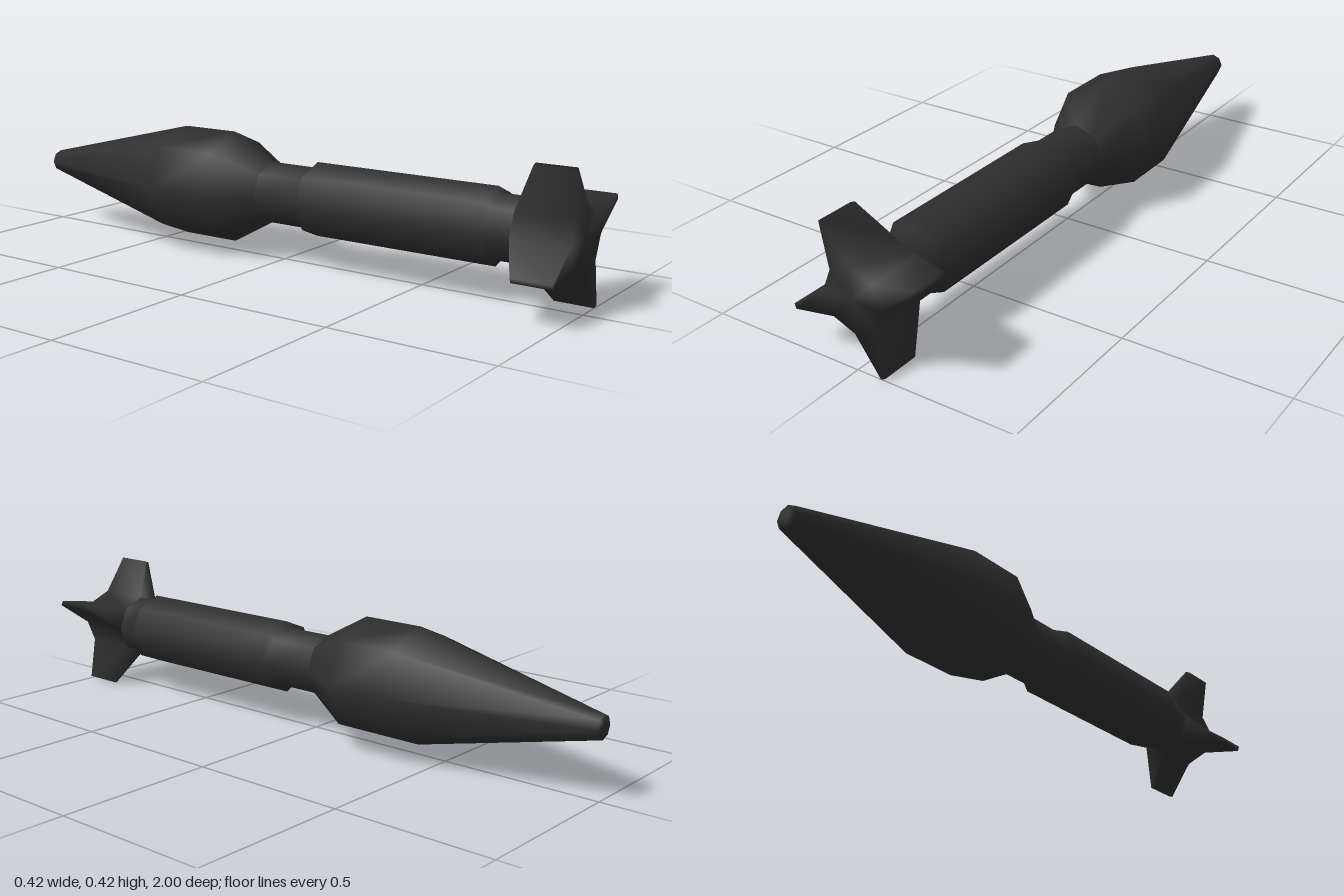
import * as THREE from 'three';

const CENTRE_Y = 0.21;
const SIDES = 8;

export function createModel() {
  const group = new THREE.Group();
  group.name = 'rocket';
  const darkMetal = new THREE.MeshStandardMaterial({ color: 0x2e2e2e });
  darkMetal.name = 'dark metal';

  const add = (name, geometry) => {
    const mesh = new THREE.Mesh(geometry, darkMetal);
    mesh.name = name;
    mesh.position.y = CENTRE_Y;
    group.add(mesh);
  };

  // Octagonal turned part along z, from [radius, z] pairs
  const turned = (profile) =>
    new THREE.LatheGeometry(profile.map(([r, z]) => new THREE.Vector2(r, z)), SIDES).rotateX(Math.PI / 2);

  add('warhead', turned([[0, -1], [0.036, -1], [0.18, -0.4], [0.18, -0.2], [0.098, -0.05]]));
  add('motorTube', turned([
    [0.098, -0.05], [0.098, 0.11], [0.116, 0.125], [0.116, 0.735], [0.098, 0.75], [0.098, 0.82],
  ]));
  add('tailFins', tailGeometry());
  return group;
}

// Octagonal tail core with a tapered fin drawn out of every other side
function tailGeometry() {
  const rootR = 0.098, tipR = 0.223, tipHalf = 0.008;
  const backZ = 0.82, tipBackZ = 0.88, endZ = 1;
  const positions = [], index = [];

  const root = (k, z) => {
    const a = (k * Math.PI) / 4;
    positions.push(rootR * Math.cos(a), rootR * Math.sin(a), z);
  };
  const tip = (k, z) => {
    const a = (Math.floor(k / 2) * 2 + 0.5) * Math.PI / 4;
    const s = k % 2 ? tipHalf : -tipHalf;
    positions.push(tipR * Math.cos(a) - s * Math.sin(a), tipR * Math.sin(a) + s * Math.cos(a), z);
  };
  for (let k = 0; k < SIDES; k++) root(k, backZ);
  for (let k = 0; k < SIDES; k++) root(k, endZ);
  for (let k = 0; k < SIDES; k++) tip(k, tipBackZ);
  for (let k = 0; k < SIDES; k++) tip(k, endZ);
  positions.push(0, 0, endZ);

  const B = (k) => k, F = (k) => 8 + k, TB = (k) => 16 + k, TF = (k) => 24 + k;
  const quad = (a, b, c, d) => index.push(a, b, c, a, c, d);

  for (let i = 0; i < SIDES; i += 2) {
    const j = i + 1, n = (i + 2) % SIDES;
    quad(B(j), B(n), F(n), F(j)); // core side between fins
    quad(TB(i), TB(j), TF(j), TF(i)); // fin tip
    quad(B(i), B(j), TB(j), TB(i)); // slanted leading edge
    quad(F(i), TF(i), TF(j), F(j)); // end face of fin
    quad(B(j), F(j), TF(j), TB(j)); // fin flanks
    quad(B(i), TB(i), TF(i), F(i));
  }
  // End cap of the core
  for (let k = 0; k < SIDES; k++) index.push(32, F(k), F((k + 1) % SIDES));

  const g = new THREE.BufferGeometry();
  g.setAttribute('position', new THREE.Float32BufferAttribute(positions, 3));
  g.setIndex(index);
  g.computeVertexNormals();
  return g;
}
